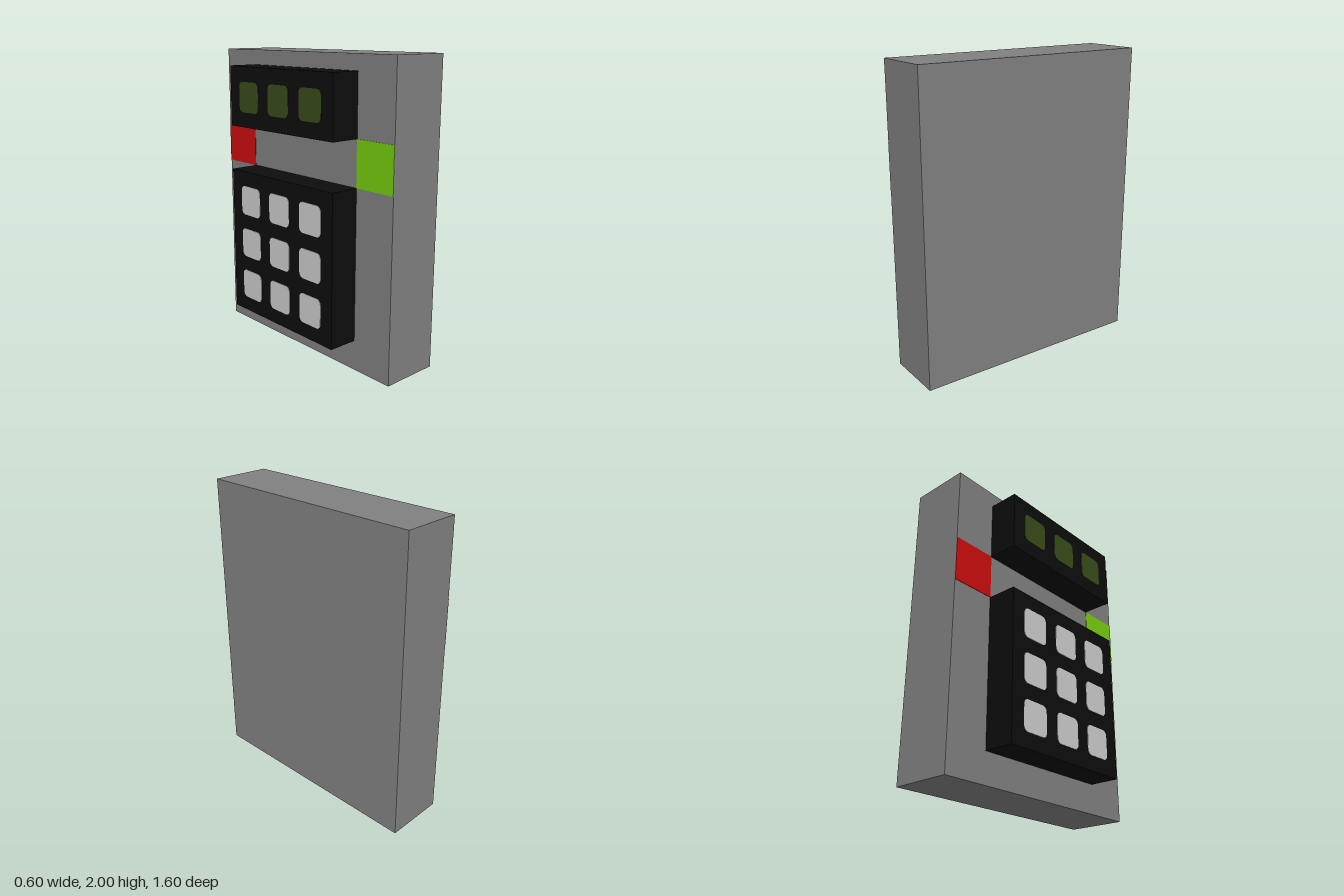
import * as THREE from 'three';

const mat = (name, color) => {
  const m = new THREE.MeshStandardMaterial({ color });
  m.name = name;
  return m;
};

export function createModel() {
  const grey = mat('bodyGrey', 0x808080);
  const black = mat('panelBlack', 0x0d0d0d);
  const keyGrey = mat('keyLightGrey', 0xcccccc);
  const digitGreen = mat('displayDarkGreen', 0x374c1a);
  const red = mat('lampRed', 0xcc0d0d);
  const green = mat('lampGreen', 0x75cc0d);
  const model = new THREE.Group();
  model.name = 'keypadLock';

  const add = (name, geometry, material, x, y, z) => {
    const mesh = new THREE.Mesh(geometry, material);
    mesh.name = name;
    mesh.position.set(x, y, z);
    model.add(mesh);
    return mesh;
  };

  // Body slab, with the display and keypad blocks on its -x side
  add('body', new THREE.BoxGeometry(0.4, 2, 1.6), grey, 0.1, 1, 0);
  add('displayBlock', new THREE.BoxGeometry(0.2, 0.4, 1), black, -0.2, 1.7, 0);
  add('keypadBlock', new THREE.BoxGeometry(0.2, 1, 1), black, -0.2, 0.7, 0);

  // Rounded square tile, 0.2 wide, facing -x
  const h = 0.1, r = 0.035;
  const tile = new THREE.Shape();
  tile.absarc(h - r, h - r, r, 0, Math.PI / 2);
  tile.absarc(r - h, h - r, r, Math.PI / 2, Math.PI);
  tile.absarc(r - h, r - h, r, Math.PI, Math.PI * 1.5);
  tile.absarc(h - r, r - h, r, Math.PI * 1.5, Math.PI * 2);
  const tileGeometry = new THREE.ExtrudeGeometry(tile, { depth: 0.003, bevelEnabled: false, curveSegments: 5 });
  tileGeometry.rotateY(-Math.PI / 2);

  // Three display digits and a 3 x 3 grid of keys
  for (const z of [-0.3, 0, 0.3]) {
    add('displayDigit', tileGeometry, digitGreen, -0.3, 1.7, z);
    for (const y of [0.4, 0.7, 1.0]) add('key', tileGeometry, keyGrey, -0.3, y, z);
  }

  // Status lamps: thin plates at the two edges of the body
  const lamp = new THREE.BoxGeometry(0.004, 0.3, 0.3);
  add('redLamp', lamp, red, -0.101, 1.35, -0.65);
  add('greenLamp', lamp, green, -0.101, 1.35, 0.65);

  // The lamps stay just inside the end faces of the body
  model.children.filter((m) => m.name.endsWith('Lamp')).forEach((m) => { m.scale.z = 0.998; });

  return model;
}
